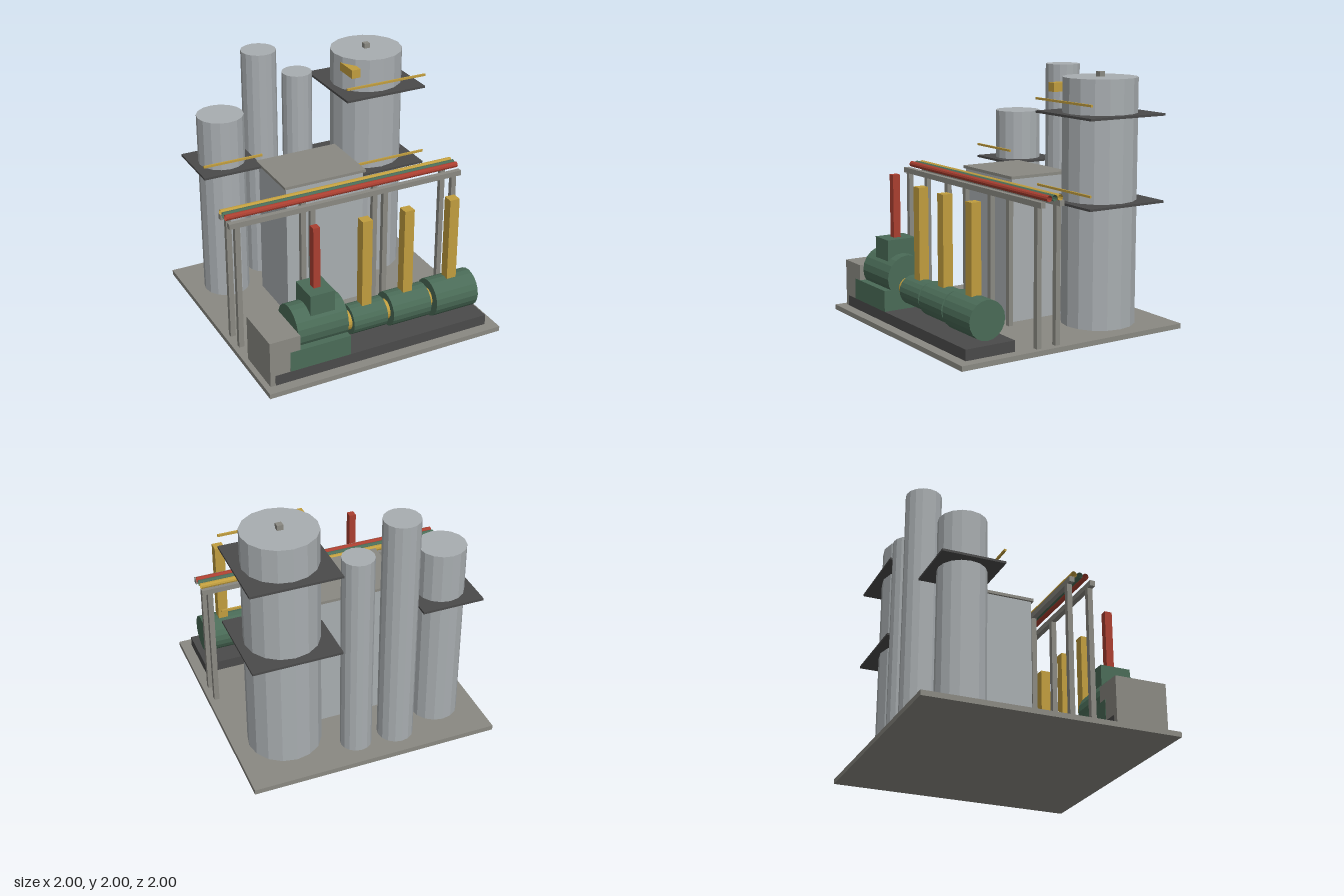
import * as THREE from 'three';

const mat = (name, color, side = THREE.FrontSide) => {
  const m = new THREE.MeshStandardMaterial({ color, flatShading: true, side });
  m.name = name;
  return m;
};

export function createModel() {
  const root = new THREE.Group();
  root.name = 'processPlant';
  const silver = mat('silver', 0xa8adb0);
  const concrete = mat('concrete grey', 0x8a8982);
  const dark = mat('dark steel', 0x4a4a4a);
  const green = mat('machine green', 0x4a6b57, THREE.DoubleSide);
  const yellow = mat('safety yellow', 0xc09d3e, THREE.DoubleSide);
  const red = mat('pipe red', 0xaa3f30, THREE.DoubleSide);

  const add = (name, geometry, material, parent = root) => {
    const mesh = new THREE.Mesh(geometry, material);
    mesh.name = name;
    parent.add(mesh);
    return mesh;
  };
  // Box given by its extents along each axis
  const box = (name, material, [x0, x1], [y0, y1], [z0, z1], parent) => {
    const m = add(name, new THREE.BoxGeometry(x1 - x0, y1 - y0, z1 - z0), material, parent);
    m.position.set((x0 + x1) / 2, (y0 + y1) / 2, (z0 + z1) / 2);
    return m;
  };
  // Cylinder lying along x
  const drum = (name, material, [x0, x1], y, z, r, open = false, parent) => {
    const g = new THREE.CylinderGeometry(r, r, x1 - x0, open ? 10 : 20, 1, open);
    g.rotateZ(-Math.PI / 2);
    const m = add(name, g, material, parent);
    m.position.set((x0 + x1) / 2, y, z);
    return m;
  };
  const group = (name) => {
    const g = new THREE.Group();
    g.name = name;
    root.add(g);
    return g;
  };

  const floor = 0.04;
  box('baseSlab', concrete, [-1, 1], [0, floor], [-1, 1]);

  // Upright vessels, some with square platforms and a front rail
  const vessel = (name, x, z, r, top, half, decks) => {
    const g = group(name);
    const shell = add('shell', new THREE.CylinderGeometry(r, r, top - floor, 16), silver, g);
    shell.position.set(x, (top + floor) / 2, z);
    for (const y of decks) {
      box('platform', dark, [x - half, x + half], [y - 0.018, y], [z - half, z + half], g);
      box('platformRail', yellow, [x - half, x + half], [y + 0.085, y + 0.102],
        [z + half - 0.015, z + half], g);
    }
    return g;
  };
  const mainColumn = vessel('mainColumn', 0.582, -0.502, 0.292, 1.96, 0.353, [1.02, 1.69]);
  box('topNozzle', concrete, [0.557, 0.605], [1.95, 2], [-0.527, -0.479], mainColumn);
  box('davitBox', yellow, [0.304, 0.38], [1.84, 1.91], [-0.42, -0.215], mainColumn);
  vessel('leftColumn', -0.67, -0.588, 0.188, 1.59, 0.248, [1.19]);
  vessel('tallColumn', -0.255, -0.755, 0.142, 2, 0, []);
  vessel('slimColumn', 0.08, -0.755, 0.124, 1.755, 0, []);

  // Insulated cold box with overhanging roof
  const house = group('coldBox');
  box('walls', silver, [-0.42, 0.25], [floor, 1.175], [-0.42, 0.085], house);
  box('roof', concrete, [-0.437, 0.265], [1.175, 1.198], [-0.437, 0.1], house);

  // Pipe rack
  const rack = group('pipeRack');
  for (const z of [0.149, 0.317]) {
    box('rackBeam', concrete, [-1, 1], [1.087, 1.13], [z - 0.02, z + 0.02], rack);
    for (const x of [-0.936, -0.315, 0.315, 0.936])
      box('rackPost', concrete, [x - 0.021, x + 0.021], [floor, 1.087], [z - 0.02, z + 0.02], rack);
  }
  [[yellow, 0.167], [green, 0.215], [red, 0.262]].forEach(([m, z]) =>
    drum('rackPipe', m, [-1, 1], 1.152, z, 0.0235, true, rack));

  // Compressor train on its skid
  const train = group('compressorTrain');
  const axis = 0.708, shaft = 0.295;
  box('skid', dark, [-0.915, 0.915], [floor, 0.125], [0.498, 0.917], train);
  box('controlCabinet', concrete, [-0.957, -0.71], [floor, 0.417], [0.5, 0.915], train);
  box('turbineBase', green, [-0.792, -0.29], [0.125, 0.292], [0.498, 0.917], train);
  drum('turbineCasing', green, [-0.71, -0.291], 0.377, axis, 0.176, false, train);
  box('exhaustHood', green, [-0.584, -0.381], [0.5, 0.668], [0.584, 0.832], train);
  box('exhaustStack', red, [-0.511, -0.455], [0.66, 1.17], [0.676, 0.737], train);
  drum('driveShaft', yellow, [-0.3, 0.55], shaft, axis, 0.081, false, train);

  const stages = [[-0.21, 0.08, 0.118, -0.067], [0.122, 0.455, 0.136, 0.291], [0.497, 0.872, 0.152, 0.687]];
  for (const [x0, x1, r, duct] of stages) {
    drum('compressorStage', green, [x0, x1], shaft, axis, r, false, train);
    box('stageDuct', yellow, [duct - 0.041, duct + 0.041], [shaft + r - 0.02, 1.13],
      [axis - 0.041, axis + 0.041], train);
  }
  return root;
}
